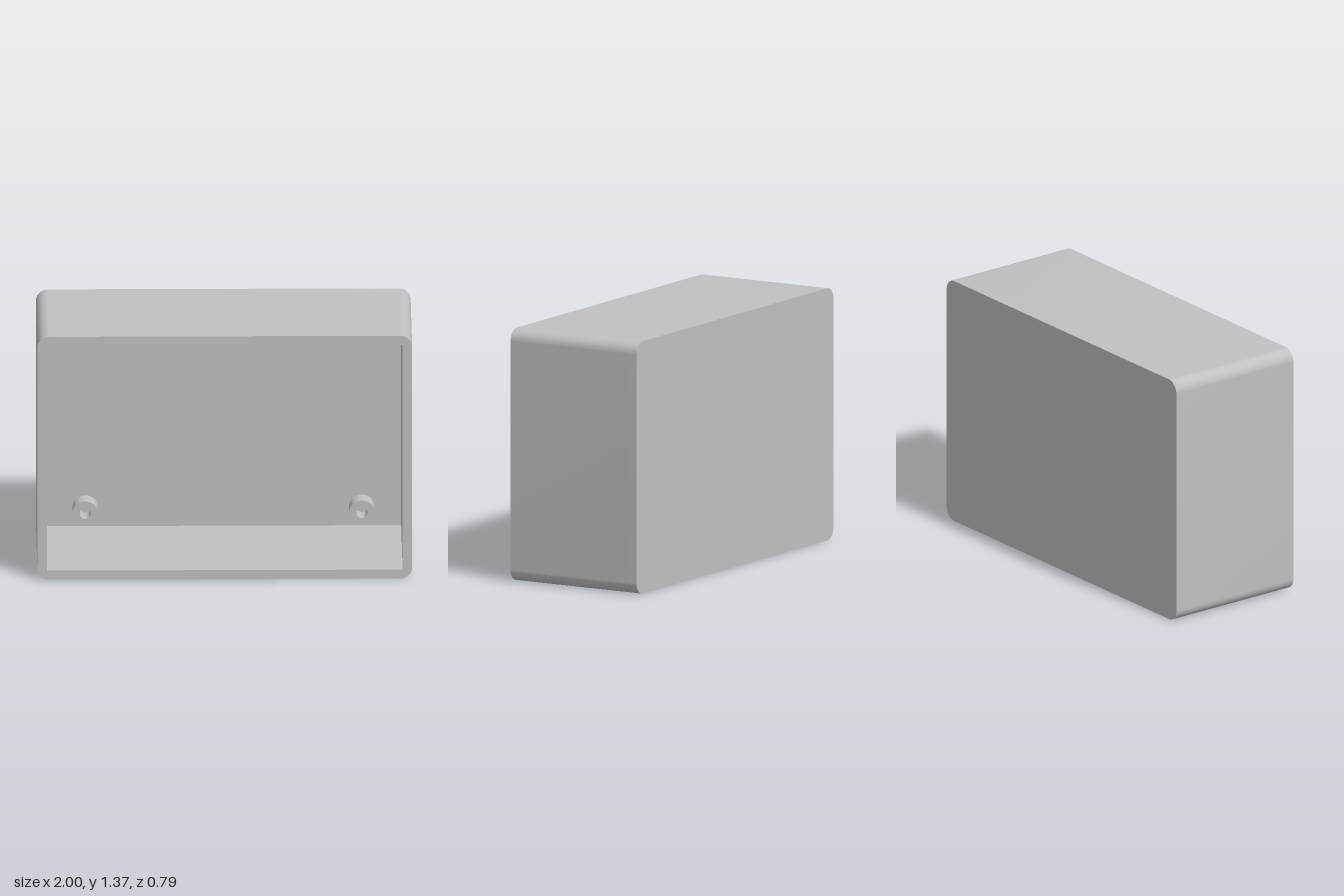
import * as THREE from 'three';
import { toCreasedNormals } from 'three/addons/utils/BufferGeometryUtils.js';

const W = 2, H = 1.368, D = 0.79;       // outer size
const WALL = 0.051, CORNER = 0.065;
const BACK = 0.05;                      // back panel thickness
const POST = { radius: 0.068, hole: 0.03, length: 0.102, x: 0.738, y: 0.528 };

// Rounded rectangle centred on the origin
function roundedRect(w, h, r) {
  const x = w / 2, y = h / 2, s = new THREE.Shape();
  s.absarc(x - r, y - r, r, 0, Math.PI / 2);
  s.absarc(-x + r, y - r, r, Math.PI / 2, Math.PI);
  s.absarc(-x + r, -y + r, r, Math.PI, Math.PI * 1.5);
  s.absarc(x - r, -y + r, r, Math.PI * 1.5, Math.PI * 2);
  s.closePath();
  return s;
}

function extrude(shape, depth) {
  const g = new THREE.ExtrudeGeometry(shape, { depth, bevelEnabled: false, curveSegments: 12 });
  return toCreasedNormals(g, 0.5);
}

export function createModel() {
  const model = new THREE.Group();
  model.name = 'enclosure';
  const grey = new THREE.MeshStandardMaterial({ color: 0xc0c0c0 });
  grey.name = 'grey plastic';

  const add = (name, geometry, x, y, z) => {
    const mesh = new THREE.Mesh(geometry, grey);
    mesh.name = name;
    mesh.position.set(x, y, z);
    model.add(mesh);
    return mesh;
  };

  // Solid back panel
  add('backPanel', extrude(roundedRect(W, H, CORNER), BACK), 0, H / 2, -D / 2);

  // Side walls: rounded outside, square inside, open at the front
  const frame = roundedRect(W, H, CORNER);
  const ix = W / 2 - WALL, iy = H / 2 - WALL;
  frame.holes.push(new THREE.Path([
    new THREE.Vector2(-ix, -iy), new THREE.Vector2(-ix, iy),
    new THREE.Vector2(ix, iy), new THREE.Vector2(ix, -iy),
  ]));
  add('sideWalls', extrude(frame, D - BACK), 0, H / 2, -D / 2 + BACK);

  // Four hollow screw posts standing on the back panel
  const profile = [
    [POST.radius, 0], [POST.radius, POST.length], [POST.hole, POST.length], [POST.hole, 0],
  ].map(([r, y]) => new THREE.Vector2(r, y));
  const postGeometry = toCreasedNormals(new THREE.LatheGeometry(profile, 40), 0.5);
  postGeometry.rotateX(Math.PI / 2);
  for (const sx of [-1, 1]) {
    for (const sy of [-1, 1]) {
      const name = (sy > 0 ? 'upper' : 'lower') + (sx > 0 ? 'Left' : 'Right') + 'ScrewPost';
      add(name, postGeometry, sx * POST.x, H / 2 + sy * POST.y, -D / 2 + BACK);
    }
  }
  return model;
}
